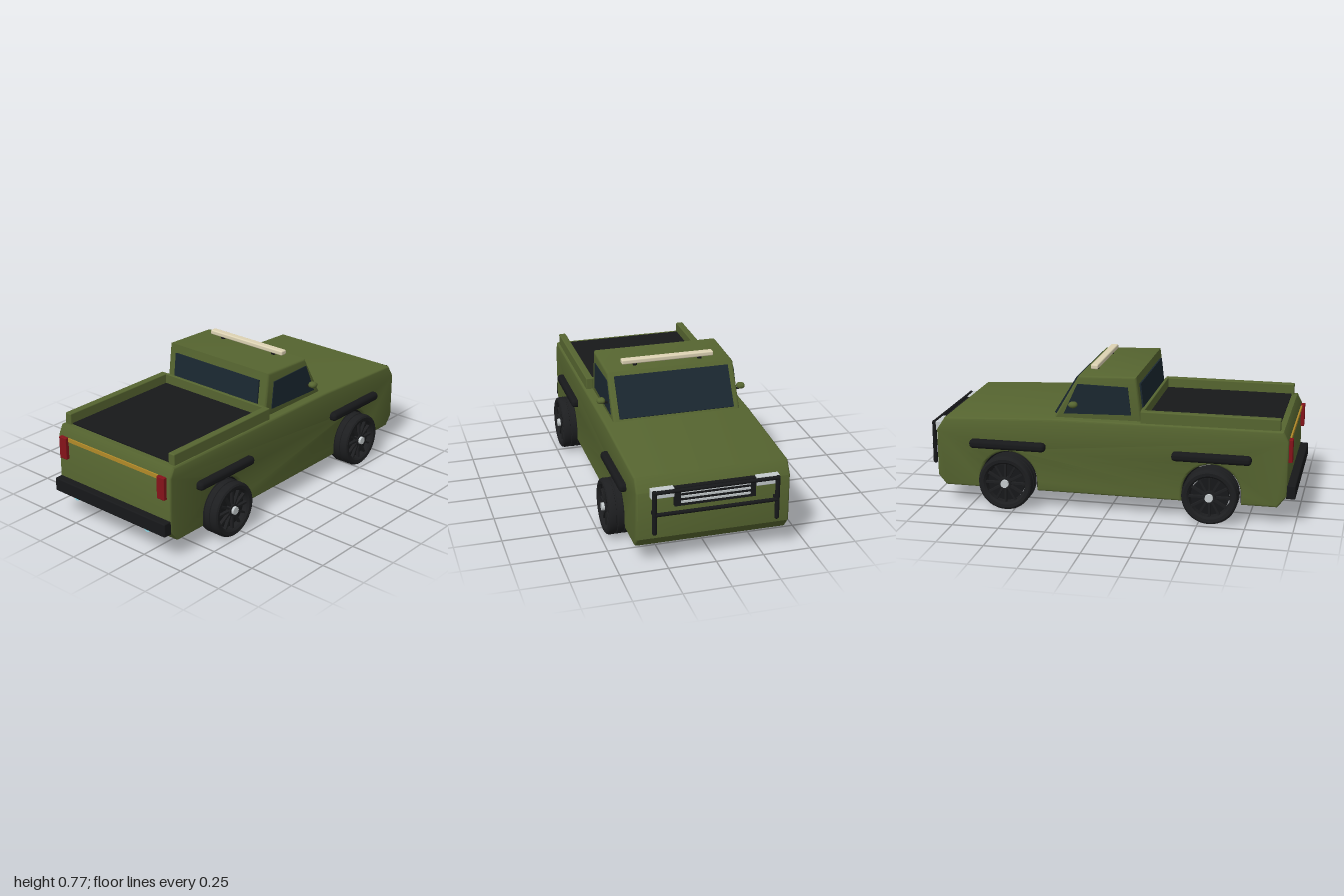
import * as THREE from 'three';
import { toCreasedNormals } from 'three/addons/utils/BufferGeometryUtils.js';
import { RoundedBoxGeometry } from 'three/addons/geometries/RoundedBoxGeometry.js';

const mat = (color) => new THREE.MeshStandardMaterial({ color, side: THREE.DoubleSide });
const olive = mat(0x566530), black = mat(0x17181a), rubber = mat(0x1d1e20), glass = mat(0x1a2730),
  chrome = mat(0xc4cacc), red = mat(0x85131a), gold = mat(0xb38a28), cream = mat(0xddd3b4), cyan = mat(0x8fd8e6);

const R = 0.148, AXLES = [0.558, -0.545];

export function createModel() {
  const truck = new THREE.Group();
  truck.name = 'pickupTruck';

  const add = (name, geo, material, x = 0, y = 0, z = 0, parent = truck) => {
    const m = new THREE.Mesh(geo, material);
    m.name = name;
    m.position.set(x, y, z);
    parent.add(m);
    return m;
  };
  const box = (name, material, w, h, d, x, y, z, r = 0) =>
    add(name, r ? new RoundedBoxGeometry(w, h, d, 3, r) : new THREE.BoxGeometry(w, h, d), material, x, y, z);
  // side outline in (z, y), extruded across the truck and centred on x
  const across = (shape, width, bevel = 0) => {
    const g = new THREE.ExtrudeGeometry(shape, {
      depth: width - 2 * bevel, bevelEnabled: bevel > 0, bevelThickness: bevel, bevelSize: bevel,
      bevelOffset: -bevel, bevelSegments: 3, curveSegments: 20,
    });
    g.translate(0, 0, -(width - 2 * bevel) / 2).rotateY(-Math.PI / 2);
    return toCreasedNormals(g, 0.6);
  };
  const outline = (pts) => new THREE.Shape(pts.map((p) => new THREE.Vector2(...p)));
  // thin pane between two points of the side outline
  const pane = (name, [z0, y0], [z1, y1], width) => {
    const m = box(name, glass, width, Math.hypot(z1 - z0, y1 - y0), 0.014, 0, (y0 + y1) / 2, (z0 + z1) / 2);
    m.rotation.x = Math.atan2(z1 - z0, y1 - y0);
  };

  // Body with open wheel arches
  const body = new THREE.Shape();
  body.moveTo(-0.9, 0.095);
  for (const z of [...AXLES].reverse()) {
    body.lineTo(z - 0.157, 0.095);
    body.absarc(z, 0.148, 0.157, Math.PI, 0, true);
    body.lineTo(z + 0.157, 0.095);
  }
  [[0.905, 0.095], [0.955, 0.16], [0.955, 0.455], [0.928, 0.508], [-0.3, 0.502], [-0.9, 0.474], [-0.945, 0.405], [-0.945, 0.15]]
    .forEach((p) => body.lineTo(...p));
  body.closePath();
  add('body', across(body, 0.8, 0.012), olive);

  // Dark liners inside the arches
  for (const z of AXLES) {
    const liner = new THREE.Shape();
    liner.moveTo(z - 0.158, 0.1);
    liner.absarc(z, 0.148, 0.158, Math.PI, 0, true);
    liner.lineTo(z + 0.158, 0.1);
    liner.lineTo(z + 0.154, 0.1);
    liner.absarc(z, 0.148, 0.154, 0, Math.PI, false);
    liner.lineTo(z - 0.154, 0.1);
    add('wheelWell', across(liner, 0.76), black);
  }

  // Cab and windows
  add('cab', across(outline([[-0.305, 0.49], [0.178, 0.49], [0.147, 0.742], [-0.165, 0.732]]), 0.7, 0.014), olive);
  add('sideWindows', across(outline([[-0.245, 0.525], [0.12, 0.535], [0.102, 0.685], [-0.17, 0.69]]), 0.708), glass);
  pane('windshield', [-0.298, 0.515], [-0.179, 0.712], 0.63);
  pane('rearWindow', [0.17, 0.565], [0.155, 0.695], 0.595);

  // Cargo bed
  box('bedFloor', black, 0.7, 0.012, 0.71, 0, 0.508, 0.543);
  box('bedFrontRail', olive, 0.7, 0.065, 0.02, 0, 0.535, 0.182, 0.004);
  for (const s of [1, -1]) box('bedSideRail', olive, 0.04, 0.07, 0.735, s * 0.367, 0.533, 0.543, 0.006);

  // Roof light bar on brackets
  box('roofLightBar', cream, 0.51, 0.026, 0.04, 0, 0.761, -0.1, 0.007);
  for (const s of [1, -1]) box('lightBarBracket', black, 0.02, 0.025, 0.015, s * 0.18, 0.742, -0.1);

  // Tail end
  box('rearBumper', black, 0.79, 0.074, 0.05, 0, 0.182, 0.973, 0.006);
  box('tailgateStrip', gold, 0.64, 0.021, 0.012, 0, 0.446, 0.956);

  // Nose: grille and guard bars
  box('grille', black, 0.42, 0.1, 0.03, 0, 0.375, -0.955);
  for (let i = 0; i < 3; i++) box('grilleSlat', chrome, 0.36, 0.011, 0.008, 0, 0.348 + i * 0.027, -0.972);
  for (const y of [0.42, 0.3]) {
    const bar = add('guardCrossbar', new THREE.CylinderGeometry(0.01, 0.01, 0.65, 12), black, 0, y, -0.988);
    bar.rotation.z = Math.PI / 2;
  }

  for (const s of [1, -1]) {
    box('tailLight', red, 0.05, 0.122, 0.025, s * 0.349, 0.396, 0.962, 0.003);
    const lamp = add('reverseLight', new THREE.CylinderGeometry(0.024, 0.024, 0.03, 20), cyan, s * 0.255, 0.148, 0.966);
    lamp.rotation.x = Math.PI / 2;
    box('headlight', chrome, 0.12, 0.05, 0.035, s * 0.272, 0.405, -0.957, 0.004);
    add('guardPost', new THREE.CapsuleGeometry(0.012, 0.22, 4, 12), black, s * 0.318, 0.311, -0.986);
    for (const y of [0.395, 0.3]) box('guardMount', black, 0.015, 0.015, 0.05, s * 0.318, y, -0.962);
    const mirror = add('mirror', new THREE.CapsuleGeometry(0.017, 0.012, 6, 14), olive, s * 0.39, 0.585, -0.185);
    mirror.rotation.z = Math.PI / 2;
    mirror.scale.z = 1.45;
    box('mirrorArm', black, 0.05, 0.01, 0.014, s * 0.36, 0.573, -0.185);
    for (const z of AXLES) {
      box('fenderFlare', black, 0.06, 0.048, 0.42, s * 0.406, 0.344, z, 0.02);
      truck.add(makeWheel(add, s, z));
    }
  }
  return truck;
}

// Wheel turning on x, outer face towards side s
function makeWheel(add, s, z) {
  const wheel = new THREE.Group();
  wheel.name = 'wheel';
  wheel.position.set(s * 0.4125, R, z);
  wheel.rotation.z = -s * Math.PI / 2;
  // tyre section (radius, width) with two tread grooves
  const half = [[0.108, -0.05], [0.118, -0.06], [0.135, -0.0625], [0.144, -0.057], [R, -0.046], [R, -0.024],
    [0.143, -0.022], [0.143, -0.016], [R, -0.014]];
  const ring = [...half, ...half.map(([r, h]) => [r, -h]).reverse(), half[0]];
  add('tyre', toCreasedNormals(new THREE.LatheGeometry(ring.map((p) => new THREE.Vector2(...p)), 40), 0.6), rubber, 0, 0, 0, wheel);
  add('rimDisc', new THREE.CylinderGeometry(0.1, 0.1, 0.02, 32), black, 0, 0.02, 0, wheel);
  for (let i = 0; i < 12; i++) {
    const a = (i / 12) * Math.PI * 2;
    const spoke = add('spoke', new THREE.BoxGeometry(0.09, 0.018, 0.011), rubber,
      Math.cos(a) * 0.065, 0.04, -Math.sin(a) * 0.065, wheel);
    spoke.rotation.y = a;
  }
  add('hub', new THREE.CylinderGeometry(0.032, 0.036, 0.04, 20), rubber, 0, 0.035, 0, wheel);
  add('hubCap', new THREE.CylinderGeometry(0.021, 0.023, 0.03, 20), chrome, 0, 0.054, 0, wheel);
  return wheel;
}
